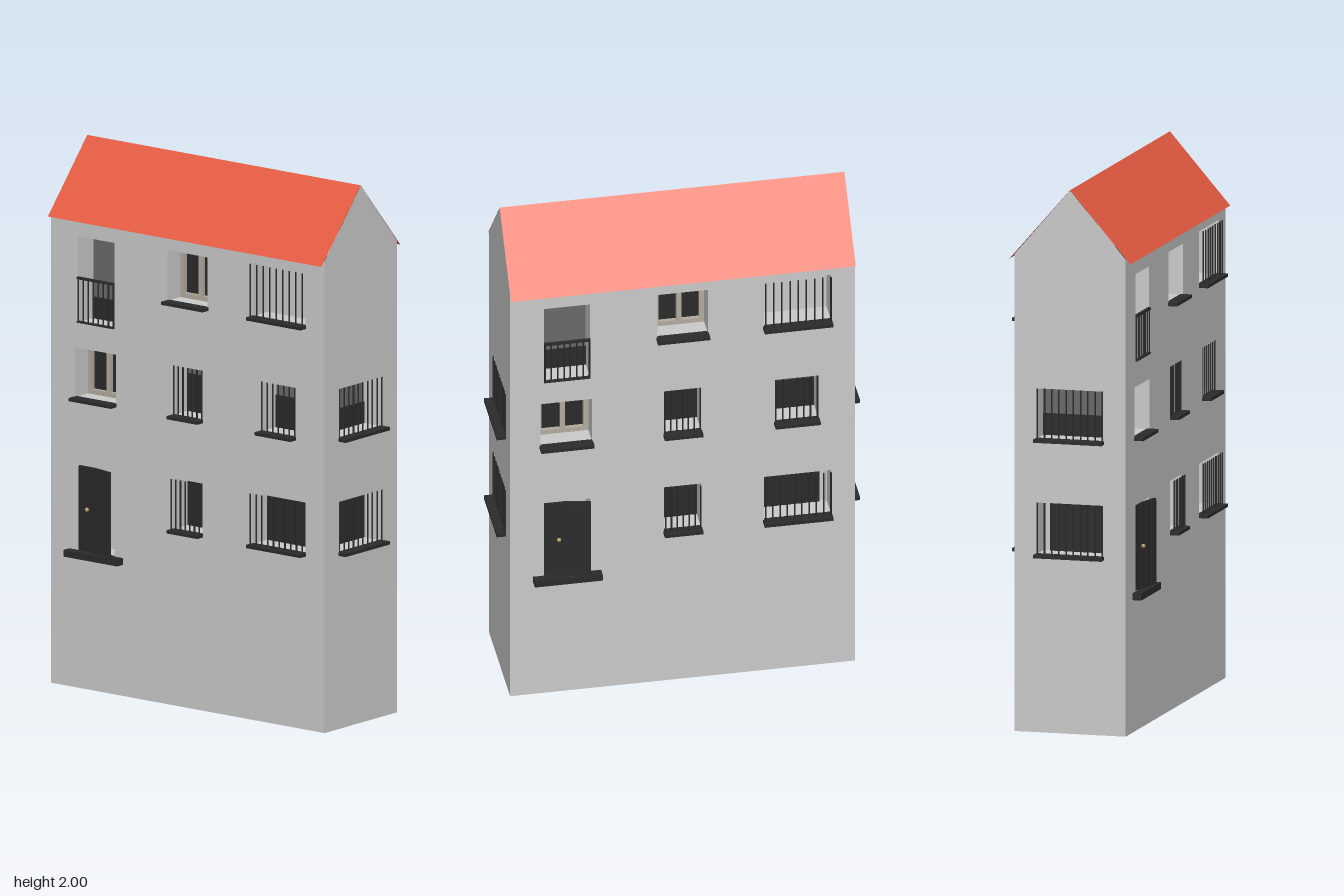
import * as THREE from 'three';

const W = 0.635, D = 0.21, EAVE = 1.755, DEPTH = 0.09;
const mat = (color, side = THREE.FrontSide) => new THREE.MeshStandardMaterial({ color, side });
const plaster = mat(0xcccccc, THREE.DoubleSide);
const dark = mat(0x2b2b2b), grey = mat(0x6a6a6a), beige = mat(0xb5aca0);
const brass = mat(0xb09a60), tile = mat(0xe55a40, THREE.DoubleSide);

function add(parent, name, geometry, material) {
  const m = new THREE.Mesh(geometry, material);
  m.name = name;
  parent.add(m);
  return m;
}

// box given by its limits
function box(parent, name, material, x0, x1, y0, y1, z0, z1) {
  const m = add(parent, name, new THREE.BoxGeometry(x1 - x0, y1 - y0, z1 - z0), material);
  m.position.set((x0 + x1) / 2, (y0 + y1) / 2, (z0 + z1) / 2);
  return m;
}

// path around a rectangle, used for openings and frames
function rect(PathType, x0, x1, y0, y1) {
  return new PathType([[x0, y0], [x1, y0], [x1, y1], [x0, y1]].map(p => new THREE.Vector2(...p)));
}

// four sides of the recess behind an opening
function reveal(parent, { x0, x1, y0, y1 }) {
  const w = x1 - x0, h = y1 - y0, cx = (x0 + x1) / 2, cy = (y0 + y1) / 2;
  for (const s of [-1, 1]) {
    const jamb = add(parent, 'revealSide', new THREE.PlaneGeometry(DEPTH, h), plaster);
    jamb.position.set(cx + s * w / 2, cy, -DEPTH / 2);
    jamb.rotation.y = -s * Math.PI / 2;
    const slab = add(parent, 'revealSlab', new THREE.PlaneGeometry(w, DEPTH), plaster);
    slab.position.set(cx, cy + s * h / 2, -DEPTH / 2);
    slab.rotation.x = s * Math.PI / 2;
  }
}

function bars(parent, x0, x1, y0, y1, count, z) {
  const r = 0.003;
  for (let i = 0; i < count; i++) {
    const bar = add(parent, 'bar', new THREE.CylinderGeometry(r, r, y1 - y0, 6), dark);
    bar.position.set(x0 + r + (x1 - x0 - 2 * r) * i / (count - 1), (y0 + y1) / 2, z);
  }
}

const sill = (g, o) => box(g, 'sill', dark, o.x0 - 0.003, o.x1 + 0.003, o.y0 - 0.01, o.y0 + 0.002, -0.01, 0.034);
const panel = (g, name, m, x0, x1, y0, y1) => box(g, name, m, x0, x1, y0, y1, -DEPTH - 0.004, -DEPTH);

// barred window; blind = [x0, x1, y0, y1] of the dark panel
function barred(g, o) {
  panel(g, 'backPanel', o.back || grey, o.x0, o.x1, o.y0, o.y1);
  if (o.blind) {
    const [a, b, c, d] = o.blind;
    box(g, 'blind', dark, a, b, c, d, -DEPTH, -DEPTH + 0.006);
  }
  bars(g, o.x0, o.x1, o.y0, o.y1, o.count, o.barZ);
  sill(g, o);
}

// two dark panes in a pale frame
function casement(g, o) {
  const { x0, x1, y0, y1 } = o, mid = (x0 + x1) / 2, t = 0.018;
  const frame = rect(THREE.Shape, x0, x1, y0, y1);
  for (const [a, b] of [[x0 + t, mid - t / 2], [mid + t / 2, x1 - t]]) {
    frame.holes.push(rect(THREE.Path, a, b, y0 + t, y1 - t));
    panel(g, 'pane', dark, a, b, y0 + t, y1 - t);
  }
  const geo = new THREE.ExtrudeGeometry(frame, { depth: 0.016, bevelEnabled: false });
  add(g, 'windowFrame', geo, beige).position.z = -DEPTH;
  sill(g, o);
}

// full-height window with a low railing
function balcony(g, o) {
  const { x0, x1, y0, y1 } = o, top = 1.53;
  panel(g, 'backPanel', grey, x0, x1, y0, y1);
  box(g, 'lowerPanel', dark, x0, x1, y0, 1.44, -DEPTH, -DEPTH + 0.006);
  bars(g, x0, x1, y0, top, 8, 0.002);
  box(g, 'topRail', dark, x0, x1, top - 0.008, top, -0.004, 0.008);
  box(g, 'bottomRail', dark, x0, x1, y0, y0 + 0.006, -0.004, 0.008);
}

// plank door standing slightly ajar over a threshold
function door(g, o) {
  const { x0, x1, y0, y1 } = o, w = x1 - x0;
  panel(g, 'backPanel', plaster, x0, x1, y0, y1);
  const leaf = new THREE.Group();
  leaf.name = 'door';
  leaf.position.set((x0 + x1) / 2, 0, 0.006);
  leaf.rotation.y = -0.2;
  g.add(leaf);
  box(leaf, 'doorLeaf', dark, -w / 2, w / 2, y0, y1, -0.005, 0.005);
  for (let i = 0; i < 4; i++) {
    const a = -w / 2 + i * w / 4;
    box(leaf, 'plank', dark, a + 0.003, a + w / 4 - 0.003, y0 + 0.005, y1 - 0.005, 0.004, 0.009);
  }
  add(leaf, 'doorKnob', new THREE.SphereGeometry(0.008, 12, 8), brass).position.set(-0.03, 0.672, 0.014);
  box(g, 'threshold', dark, -0.55, -0.3, 0.488, 0.513, -0.01, 0.034);
}

const front = [
  { build: balcony, x0: -0.51, x1: -0.34, y0: 1.36, y1: 1.68 },
  { build: casement, x0: -0.093, x1: 0.093, y0: 1.502, y1: 1.69 },
  { build: barred, x0: 0.3, x1: 0.547, y0: 1.502, y1: 1.7, count: 9, barZ: 0.015, back: plaster },
  { build: casement, x0: -0.523, x1: -0.333, y0: 1.08, y1: 1.265 },
  { build: barred, x0: -0.068, x1: 0.068, y0: 1.08, y1: 1.265, count: 7, barZ: 0, blind: [-0.068, 0.068, 1.08, 1.22] },
  { build: barred, x0: 0.34, x1: 0.5, y0: 1.08, y1: 1.265, count: 7, barZ: 0, blind: [0.34, 0.5, 1.08, 1.2] },
  { build: door, x0: -0.51, x1: -0.34, y0: 0.513, y1: 0.83 },
  { build: barred, x0: -0.068, x1: 0.068, y0: 0.655, y1: 0.845, count: 7, barZ: 0.015, blind: [-0.068, 0.068, 0.655, 0.84] },
  { build: barred, x0: 0.3, x1: 0.547, y0: 0.655, y1: 0.845, count: 10, barZ: 0.015, back: plaster, blind: [0.3, 0.52, 0.655, 0.84] },
];
const end = [
  { build: barred, x0: -0.127, x1: 0.125, y0: 1.08, y1: 1.265, count: 10, barZ: 0, blind: [-0.127, 0.125, 1.08, 1.16] },
  { build: barred, x0: -0.127, x1: 0.125, y0: 0.655, y1: 0.845, count: 10, barZ: 0, back: plaster, blind: [-0.1, 0.125, 0.655, 0.84] },
];

function wall(name, shape, openings) {
  const g = new THREE.Group();
  g.name = name;
  for (const o of openings) {
    shape.holes.push(rect(THREE.Path, o.x0, o.x1, o.y0, o.y1));
    reveal(g, o);
    o.build(g, o);
  }
  add(g, name + 'Surface', new THREE.ShapeGeometry(shape), plaster);
  return g;
}

export function createModel() {
  const model = new THREE.Group();
  model.name = 'townHouse';
  // each half holds a long wall, a gable wall and a roof slope
  for (let i = 0; i < 2; i++) {
    const half = new THREE.Group();
    half.name = i ? 'backHalf' : 'frontHalf';
    half.rotation.y = i * Math.PI;
    model.add(half);

    const long = wall('longWall', rect(THREE.Shape, -W, W, 0, EAVE), front);
    long.position.z = D;
    half.add(long);

    const gable = new THREE.Shape([[-D, 0], [D, 0], [D, EAVE], [0, 1.999], [-D, EAVE]].map(p => new THREE.Vector2(...p)));
    const side = wall('gableWall', gable, end);
    side.position.x = W;
    side.rotation.y = Math.PI / 2;
    half.add(side);

    const run = 0.228, rise = 0.262;
    const slope = add(half, 'roofSlope', new THREE.PlaneGeometry(2 * W, Math.hypot(run, rise)), tile);
    slope.position.set(0, 2 - rise / 2, run / 2);
    slope.rotation.x = -Math.atan2(run, rise);
  }
  return model;
}
